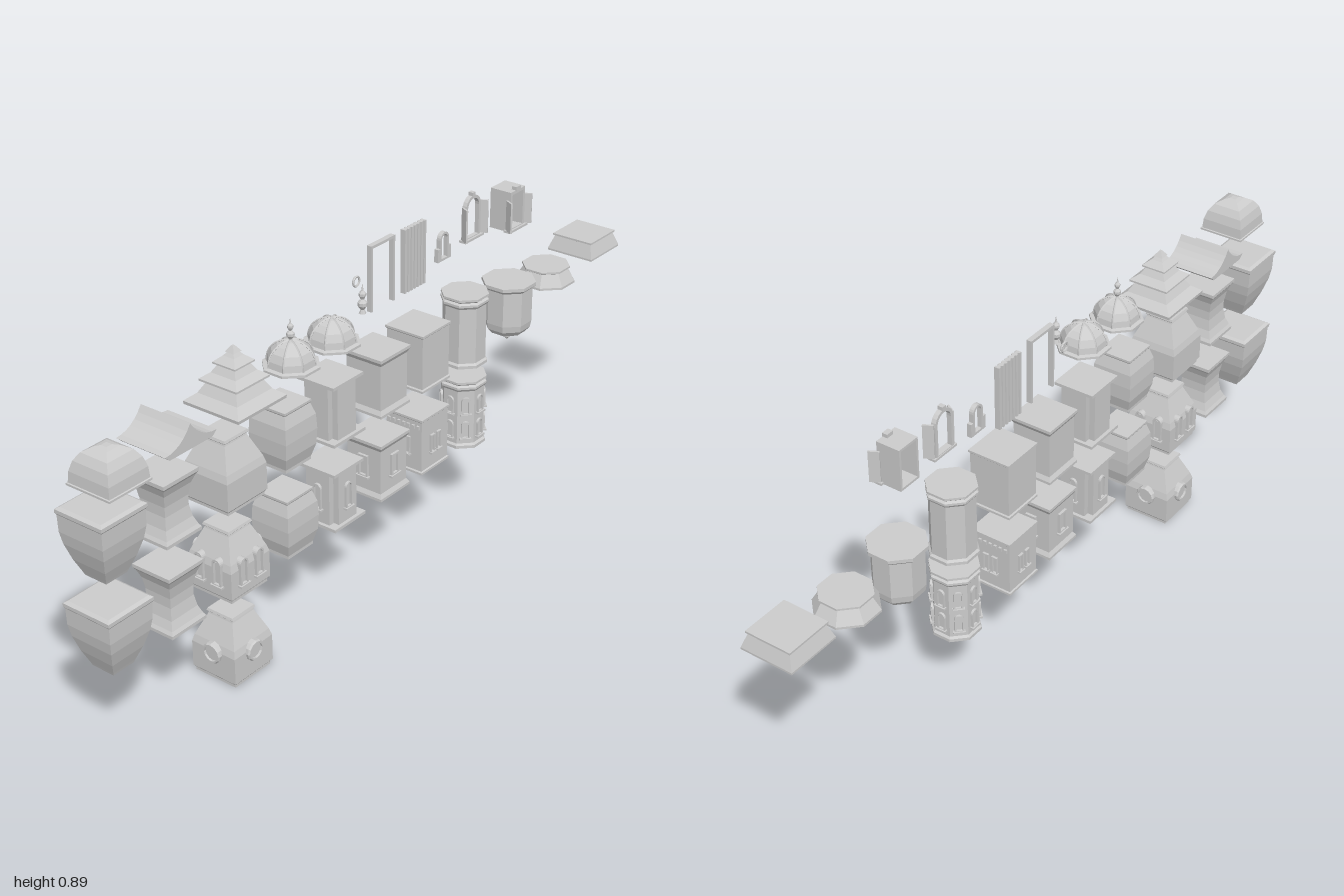
import * as THREE from 'three';

const mat = new THREE.MeshStandardMaterial({ color: 0xcccccc, flatShading: true, side: THREE.DoubleSide });
const CX = -0.01; // common x of the kit column

function add(parent, name, geo, x = 0, y = 0, z = 0) {
  const m = new THREE.Mesh(geo, mat);
  m.name = name;
  m.position.set(x, y, z);
  parent.add(m);
  return m;
}

// Prism with flat sides facing the axes; profile is [halfWidth, y] from bottom to top
function prism(profile, sides = 4) {
  const k = 1 / Math.cos(Math.PI / sides);
  const pts = profile.map(([r, y]) => new THREE.Vector2(r * k, y));
  pts.unshift(new THREE.Vector2(0, profile[0][1]));
  pts.push(new THREE.Vector2(0, profile[profile.length - 1][1]));
  return new THREE.LatheGeometry(pts, sides, Math.PI / sides);
}

function outline(Type, w, h, arched) {
  const s = new Type();
  s.moveTo(-w / 2, 0);
  s.lineTo(w / 2, 0);
  if (arched) {
    s.lineTo(w / 2, h - w / 2);
    s.absarc(0, h - w / 2, w / 2, 0, Math.PI, false);
  } else {
    s.lineTo(w / 2, h);
    s.lineTo(-w / 2, h);
  }
  s.closePath();
  return s;
}

// Window or door surround in the xy plane, front at +z
function frameGeo(w, h, t, depth, arched) {
  const s = outline(THREE.Shape, w, h, arched);
  const hole = outline(THREE.Path, w - 2 * t, h - 2 * t, arched);
  const moved = new THREE.Path(hole.getPoints(5).map(p => new THREE.Vector2(p.x, p.y + t)));
  s.holes.push(moved);
  return new THREE.ExtrudeGeometry(s, { depth, bevelEnabled: false, curveSegments: 5 });
}

// Wall window: surround, sill and recessed pane
function wallWindow(w, h, arched) {
  const g = new THREE.Group();
  g.name = 'wallWindow';
  add(g, 'surround', frameGeo(w, h, w * 0.18, 0.026, arched), 0, 0, -0.02);
  add(g, 'sill', new THREE.BoxGeometry(w * 1.3, 0.005, 0.02), 0, 0, 0);
  add(g, 'pane', new THREE.BoxGeometry(w * 0.7, h * 0.75, 0.012), 0, h * 0.45, -0.007);
  return g;
}

// Places copies of a part on every face of a prism
function onFaces(parent, make, faces, dist, y, offsets = [0]) {
  for (let i = 0; i < faces; i++) {
    const side = new THREE.Group();
    side.name = 'face';
    side.rotation.y = (i / faces) * Math.PI * 2;
    for (const o of offsets) {
      const part = make();
      part.position.set(o, y, dist);
      side.add(part);
    }
    parent.add(side);
  }
}

// Block profiles, measured from each block's own base
const vase = [[0.031, 0], [0.034, 0.008], [0.047, 0.04], [0.059, 0.08], [0.064, 0.11], [0.065, 0.152], [0.068, 0.156], [0.068, 0.165], [0.06, 0.17]];
const waisted = [[0.055, 0], [0.055, 0.008], [0.05, 0.016], [0.042, 0.036], [0.037, 0.065], [0.037, 0.09], [0.042, 0.12], [0.05, 0.14], [0.055, 0.147], [0.055, 0.156]];
const bulb = [[0.061, 0], [0.061, 0.007], [0.066, 0.013], [0.066, 0.082], [0.061, 0.1], [0.037, 0.156], [0.036, 0.16], [0.04, 0.164], [0.038, 0.17]];
const barrel = [[0.045, 0], [0.045, 0.008], [0.054, 0.04], [0.056, 0.08], [0.054, 0.118], [0.045, 0.147], [0.047, 0.15], [0.047, 0.156]];
const plinthBox = [[0.058, 0], [0.058, 0.007], [0.052, 0.018], [0.052, 0.137], [0.058, 0.148], [0.058, 0.156]];
const plainBox = [[0.058, 0], [0.058, 0.006], [0.055, 0.009], [0.055, 0.147], [0.058, 0.15], [0.058, 0.156]];
const tower = [[0.058, 0], [0.058, 0.008], [0.053, 0.013], [0.053, 0.165], [0.058, 0.172], [0.058, 0.178], [0.052, 0.182], [0.058, 0.187], [0.058, 0.193]];

function notchedPillar(g) {
  const a = 0.05, b = 0.034;
  const s = new THREE.Shape([[a, -b], [a, b], [b, b], [b, a], [-b, a], [-b, b], [-a, b], [-a, -b], [-b, -b], [-b, -a], [b, -a], [b, -b]].map(p => new THREE.Vector2(...p)));
  const geo = new THREE.ExtrudeGeometry(s, { depth: 0.145, bevelEnabled: false });
  add(g, 'pillarBody', geo.rotateX(-Math.PI / 2), 0, 0.006, 0);
  add(g, 'pillarBase', new THREE.BoxGeometry(0.118, 0.008, 0.118), 0, 0.004, 0);
  add(g, 'pillarCap', new THREE.BoxGeometry(0.112, 0.008, 0.112), 0, 0.152, 0);
}

function ballFinial(parent, x, y, z) {
  const p = [[0, 0], [0.009, 0.002], [0.005, 0.012], [0.012, 0.022], [0.012, 0.03], [0.004, 0.038], [0.009, 0.047], [0.009, 0.053], [0.003, 0.06], [0, 0.078]];
  add(parent, 'finial', new THREE.LatheGeometry(p.map(q => new THREE.Vector2(...q)), 8), x, y, z);
}

function ribbedDome(parent, x, z) {
  const g = new THREE.Group();
  g.name = 'ribbedDome';
  g.position.set(x, 0.71, z);
  const arc = [[0.054, 0.008], [0.052, 0.024], [0.044, 0.042], [0.031, 0.055], [0.015, 0.063], [0.004, 0.065]];
  add(g, 'domeShell', prism([[0.064, 0], [0.064, 0.006], ...arc], 8));
  const k = 1 / Math.cos(Math.PI / 8);
  const path = new THREE.CatmullRomCurve3(arc.map(([r, y]) => new THREE.Vector3(0, y, r * k)));
  for (let i = 0; i < 8; i++) {
    add(g, 'domeRib', new THREE.TubeGeometry(path, 8, 0.0025, 4)).rotation.y = (i + 0.5) * Math.PI / 4;
  }
  parent.add(g);
}

function shutteredFrame(parent, name, w, h, arched) {
  const g = new THREE.Group();
  g.name = name;
  add(g, 'surround', frameGeo(w, h, 0.008, 0.012, arched));
  add(g, 'sill', new THREE.BoxGeometry(w + 0.016, 0.006, 0.02), 0, 0.003, 0.008);
  for (const s of [-1, 1]) {
    add(g, 'shutter', new THREE.BoxGeometry(0.005, h * 0.75, 0.026), s * (w / 2 + 0.008), h * 0.42, 0.014).rotation.y = s * 0.5;
  }
  g.rotation.y = Math.PI / 2;
  parent.add(g);
  return g;
}

export function createModel() {
  const root = new THREE.Group();
  root.name = 'buildingKit';

  // Two rows of wall blocks: the lower row carries windows
  for (const [low, dy] of [[true, 0], [false, 0.232]]) {
    const block = (name, z, y, profile, sides) => {
      const g = new THREE.Group();
      g.name = name;
      g.position.set(CX, y + dy, z);
      if (profile) add(g, 'body', prism(profile, sides));
      root.add(g);
      return g;
    };
    block('taperedBlock', 0.932, 0.222, vase);
    block('waistedBlock', 0.748, 0.235, waisted);
    const b = block('bulbBlock', 0.553, 0.232, bulb);
    block('barrelBlock', 0.352, 0.235, barrel);
    const p = block('pillarBlock', 0.18, 0.235);
    notchedPillar(p);
    const q = block('plinthBlock', 0, 0.235, plinthBox);
    const r = block('plainBlock', -0.167, 0.235, plainBox);
    const t = block('towerBlock', -0.365, 0.213, tower, 8);
    if (!low) continue;
    onFaces(b, () => wallWindow(0.026, 0.07, true), 4, 0.067, 0.04, [-0.027, 0.027]);
    onFaces(p, () => wallWindow(0.024, 0.07, true), 4, 0.051, 0.045);
    onFaces(q, () => wallWindow(0.03, 0.06, false), 4, 0.053, 0.055);
    onFaces(r, () => wallWindow(0.016, 0.05, false), 4, 0.055, 0.05, [-0.013, 0.013]);
    for (const y of [0.028, 0.098]) onFaces(t, () => wallWindow(0.023, 0.05, true), 8, 0.053, y);
    // Dentils under the cornice
    for (const s of [-1, 1]) for (let i = -3; i <= 3; i++) {
      add(r, 'dentil', new THREE.BoxGeometry(0.008, 0.01, 0.006), i * 0.015, 0.132, s * 0.057);
    }
  }

  // Bulb block with round windows
  const round = new THREE.Group();
  round.name = 'roundWindowBlock';
  round.position.set(CX, 0, 0.553);
  add(round, 'body', prism(bulb));
  onFaces(round, () => {
    const w = new THREE.Group();
    w.name = 'roundWindow';
    const ring = [[0.02, -0.02], [0.027, -0.02], [0.027, 0.005], [0.024, 0.009], [0.02, 0.009], [0.02, -0.02]];
    add(w, 'ring', new THREE.LatheGeometry(ring.map(c => new THREE.Vector2(...c)), 12).rotateX(Math.PI / 2));
    add(w, 'pane', new THREE.CylinderGeometry(0.021, 0.021, 0.02, 12).rotateX(Math.PI / 2), 0, 0, -0.007);
    return w;
  }, 4, 0.067, 0.077);
  root.add(round);

  // Hanging turret and two flared bases
  add(root, 'hangingTurret', prism([[0.002, 0], [0.007, 0.006], [0.008, 0.014], [0.004, 0.02], [0.025, 0.022], [0.045, 0.028], [0.056, 0.042], [0.059, 0.06], [0.059, 0.155], [0.067, 0.163], [0.067, 0.172]], 8), CX, 0.428, -0.565);
  add(root, 'octagonBase', prism([[0.073, 0], [0.073, 0.006], [0.055, 0.038], [0.06, 0.041], [0.06, 0.046]], 8), CX, 0.536, -0.743);
  add(root, 'squareBase', prism([[0.07, 0], [0.07, 0.005], [0.057, 0.041], [0.061, 0.043], [0.061, 0.048]]), CX, 0.565, -0.93);

  // Roofs
  add(root, 'squareDome', prism([[0.062, 0], [0.062, 0.005], [0.059, 0.006], [0.057, 0.032], [0.05, 0.056], [0.038, 0.074], [0.02, 0.085], [0.008, 0.088]]), 0.025, 0.69, 0.936);
  const roof = new THREE.Shape();
  roof.moveTo(-0.066, 0);
  roof.lineTo(0.066, 0);
  roof.lineTo(0.08, 0.012);
  roof.quadraticCurveTo(0.03, 0.012, 0, 0.06);
  roof.quadraticCurveTo(-0.03, 0.012, -0.08, 0.012);
  roof.closePath();
  add(root, 'curvedGable', new THREE.ExtrudeGeometry(roof, { depth: 0.142, bevelEnabled: false, curveSegments: 6 }).rotateY(Math.PI / 2), -0.08, 0.69, 0.73);
  add(root, 'tieredRoof', prism([[0.08, 0], [0.081, 0.008], [0.058, 0.026], [0.043, 0.052], [0.055, 0.055], [0.055, 0.06], [0.036, 0.074], [0.025, 0.092], [0.033, 0.095], [0.033, 0.099], [0.016, 0.113], [0.01, 0.12], [0.013, 0.122], [0.003, 0.136]]), -0.008, 0.69, 0.512);
  ribbedDome(root, 0.005, 0.335);
  ballFinial(root, 0.005, 0.768, 0.335);
  root.children[root.children.length - 1].scale.setScalar(0.8);
  ribbedDome(root, 0.005, 0.188);

  // Loose trim pieces, all facing +x
  ballFinial(root, 0.024, 0.756, 0.098);
  add(root, 'ringTrim', new THREE.TorusGeometry(0.012, 0.003, 5, 12).rotateY(Math.PI / 2), -0.04, 0.8, 0.04);
  for (const s of [-1, 1]) add(root, 'doorPost', new THREE.BoxGeometry(0.014, 0.17, 0.006), -0.03, 0.795, -0.043 + s * 0.043);
  add(root, 'doorLintel', new THREE.BoxGeometry(0.014, 0.007, 0.092), -0.03, 0.877, -0.043);
  add(root, 'slattedDoor', new THREE.BoxGeometry(0.008, 0.167, 0.084), -0.032, 0.793, -0.174);
  for (let i = 0; i < 7; i++) add(root, 'doorSlat', new THREE.BoxGeometry(0.014, 0.167, 0.007), -0.032, 0.793, -0.135 - i * 0.013);

  const small = new THREE.Group();
  small.name = 'smallArchFrame';
  add(small, 'surround', frameGeo(0.036, 0.075, 0.006, 0.012, true));
  for (const s of [-1, 1]) add(small, 'foot', new THREE.BoxGeometry(0.012, 0.035, 0.012), s * 0.021, 0.0175, 0.006);
  small.position.set(-0.035, 0.745, -0.292);
  small.rotation.y = Math.PI / 2;
  root.add(small);

  const tall = shutteredFrame(root, 'archedShutterFrame', 0.064, 0.118, true);
  tall.position.set(-0.036, 0.76, -0.415);
  add(tall, 'keystone', new THREE.BoxGeometry(0.012, 0.014, 0.014), 0, 0.119, 0.006);

  // Bay window: open box with shuttered front
  const bay = shutteredFrame(root, 'bayWindow', 0.064, 0.108, false);
  bay.position.set(0.01, 0.756, -0.545);
  for (const s of [-1, 1]) add(bay, 'baySide', new THREE.BoxGeometry(0.006, 0.106, 0.05), s * 0.029, 0.053, -0.025);
  for (const y of [0.003, 0.105]) add(bay, 'bayCover', new THREE.BoxGeometry(0.064, 0.006, 0.05), 0, y, -0.025);
  add(bay, 'keystone', new THREE.BoxGeometry(0.02, 0.012, 0.014), 0, 0.111, 0.006);

  return root;
}
